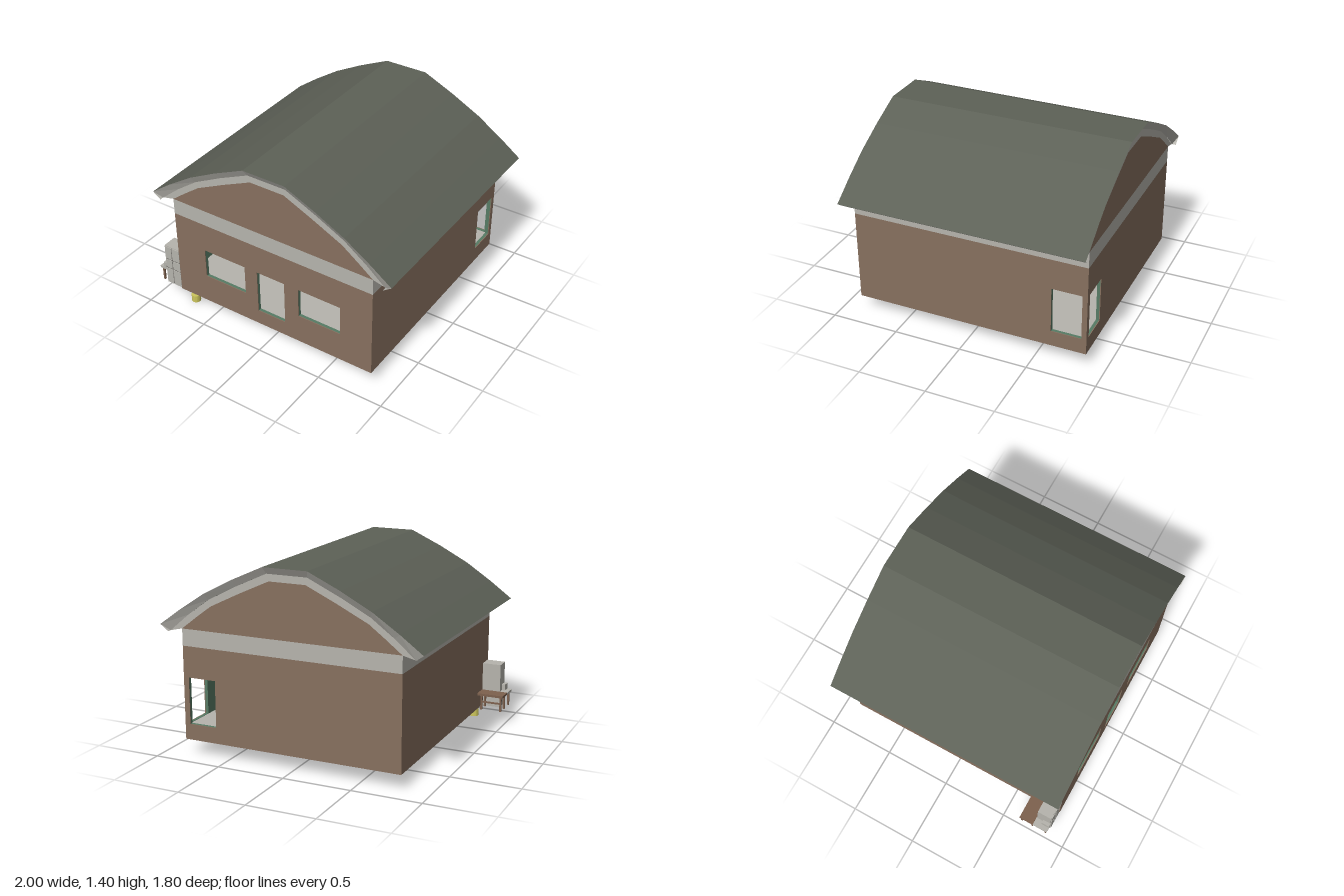
import * as THREE from 'three';

const mat = (name, color) => {
  const m = new THREE.MeshStandardMaterial({ color, flatShading: true, side: THREE.DoubleSide });
  m.name = name;
  return m;
};

export function createModel() {
  const brown = mat('brown wall', 0x87705f);
  const grey = mat('light grey trim', 0xb6b4ad);
  const roofGreen = mat('dark roof', 0x5d6157);
  const green = mat('green interior', 0x577b65);
  const tan = mat('tan floor', 0xdccb9c);
  const wood = mat('table wood', 0x7d614e);
  const yellow = mat('yellow lamp', 0xcdc65c);
  const dark = mat('dark metal', 0x56534f);

  const root = new THREE.Group();
  root.name = 'house';
  const add = (name, geo, m, parent = root) => {
    const mesh = new THREE.Mesh(geo, m);
    mesh.name = name;
    parent.add(mesh);
    return mesh;
  };
  // box given by its limits on each axis
  const box = (name, m, x0, x1, y0, y1, z0, z1) => {
    const mesh = add(name, new THREE.BoxGeometry(x1 - x0, y1 - y0, z1 - z0), m);
    mesh.position.set((x0 + x1) / 2, (y0 + y1) / 2, (z0 + z1) / 2);
    return mesh;
  };

  const X0 = -0.8, X1 = 0.84, Z = 0.867, CX = 0.02, BASE = 0.11, BAND = 0.79, TOP = 0.912;
  const rectPoints = (x0, x1, y0, y1) =>
    [[x0, y0], [x1, y0], [x1, y1], [x0, y1]].map(p => new THREE.Vector2(...p));

  // A wall drawn in its own plane: coloured skin, green lining and grey band
  function wall(name, u0, u1, holes) {
    const g = new THREE.Group();
    g.name = name;
    const slab = (y0, y1, depth, inset = 0) => {
      const s = new THREE.Shape(rectPoints(u0 + inset, u1 - inset, y0, y1));
      if (y0 === BASE) holes.forEach(h => s.holes.push(new THREE.Path(rectPoints(...h))));
      return new THREE.ExtrudeGeometry(s, { depth, bevelEnabled: false });
    };
    add(name + 'Skin', slab(BASE, BAND, 0.006), brown, g).position.z = -0.006;
    add(name + 'Lining', slab(BASE, BAND, 0.022, 0.006), green, g).position.z = -0.028;
    add(name + 'Band', slab(BAND, TOP, 0.02), grey, g).position.z = -0.02;
    root.add(g);
    return g;
  }
  const front = wall('frontWall', X0, X1,
    [[-0.55, -0.2, 0.335, 0.565], [-0.095, 0.135, 0.225, 0.565], [0.25, 0.59, 0.335, 0.565]]);
  front.position.z = Z;
  const back = wall('backWall', -X1, -X0, [[-0.8, -0.59, 0.225, 0.565]]);
  back.rotation.y = Math.PI;
  back.position.z = -Z;
  const right = wall('leftWall', -Z, Z, [[0.61, 0.83, 0.225, 0.565]]);
  right.rotation.y = Math.PI / 2;
  right.position.x = X1;
  const left = wall('rightWall', -Z, Z, []);
  left.rotation.y = -Math.PI / 2;
  left.position.x = X0;

  // Roof profiles, mirrored about the ridge
  const profile = half => [
    ...[...half].reverse().map(([x, y]) => [CX - x, y]),
    ...half.map(([x, y]) => [CX + x, y]),
  ];
  const outer = profile([[0.165, 1.402], [0.4, 1.295], [0.62, 1.18], [0.81, 1.055], [0.975, 0.935]]);
  const mid = profile([[0.15, 1.354], [0.385, 1.246], [0.6, 1.135], [0.765, 1.015], [0.912, 0.89]]);
  const inner = profile([[0.135, 1.303], [0.36, 1.2], [0.585, 1.09], [0.7, 1.005], [0.82, 0.912]]);

  const strip = (a, az, b, bz) => {
    const pos = [], idx = [];
    a.forEach((p, i) => pos.push(...p, az, ...b[i], bz));
    for (let i = 0; i < a.length - 1; i++) {
      const k = i * 2;
      idx.push(k, k + 1, k + 3, k, k + 3, k + 2);
    }
    const g = new THREE.BufferGeometry();
    g.setAttribute('position', new THREE.Float32BufferAttribute(pos, 3));
    g.setIndex(idx);
    g.computeVertexNormals();
    return g;
  };
  add('roofTop', strip(outer, -0.9, outer, 0.9), roofGreen);
  add('frontFascia', strip(outer, 0.9, mid, Z + 0.003), grey);
  add('backFascia', strip(mid, -Z - 0.003, outer, -0.9), grey);
  // sloping eave edges
  const last = outer.length - 1;
  add('leftEave', strip([outer[last], mid[last]], -0.9, [outer[last], mid[last]], 0.9), grey);
  add('rightEave', strip([mid[0], outer[0]], -0.9, [mid[0], outer[0]], 0.9), grey);

  // Trim arch under the roof, and brown gables
  const extrude = (pts, depth) => new THREE.ExtrudeGeometry(
    new THREE.Shape(pts.map(p => new THREE.Vector2(...p))), { depth, bevelEnabled: false });
  add('roofTrim', extrude([...mid, ...[...inner].reverse()], 2 * Z), grey).position.z = -Z;
  [['frontGable', Z - 0.02], ['backGable', -Z]].forEach(([name, z]) => {
    add(name, extrude(inner, 0.02), brown).position.z = z;
  });

  // Floors, ceiling and the back corner room
  box('mainFloorFront', grey, X0 + 0.02, X1 - 0.02, 0.208, 0.223, -0.19, Z - 0.02);
  box('mainFloorSide', grey, 0.01, X1 - 0.02, 0.208, 0.223, -Z + 0.02, -0.19);
  box('roomFloor', tan, X0 + 0.02, 0.01, 0.208, 0.223, -Z + 0.02, -0.19);
  box('ceiling', grey, X0 + 0.02, X1 - 0.02, 0.79, 0.8, -Z + 0.02, Z - 0.02);
  box('partitionFront', green, X0 + 0.02, 0.02, 0.2, 0.79, -0.2, -0.18);
  box('partitionSide', green, 0, 0.02, 0.2, 0.79, -0.43, -0.2);
  box('roomLiningSide', grey, X0 + 0.027, X0 + 0.032, BASE, 0.79, -Z + 0.03, -0.2);
  box('roomLiningBack', grey, X0 + 0.03, 0, 0.223, 0.79, -Z + 0.027, -Z + 0.032);
  box('innerPost', dark, -0.325, -0.295, 0.223, 0.565, -0.178, -0.16);
  box('innerStand', dark, 0.415, 0.435, 0.223, 0.45, -0.17, -0.15);

  // Tall cabinet outside the corner, with door panels
  box('cabinet', grey, -0.94, -0.7, BASE, 0.445, 0.75, 0.857);
  [[-0.935, -0.878], [-0.87, -0.805]].forEach(([a, b]) =>
    [[0.115, 0.245], [0.255, 0.325], [0.335, 0.44]].forEach(([c, d]) =>
      box('cabinetDoor', grey, a, b, c, d, 0.857, 0.864)));
  [0.25, 0.33].forEach(y => box('cabinetGap', dark, -0.94, -0.8, y - 0.004, y + 0.004, 0.856, 0.859));

  // Table, bench and legs
  box('tableTop', wood, -1, -0.8, 0.22, 0.237, 0.635, 0.745);
  box('benchTop', grey, -1, -0.8, 0.217, 0.234, 0.745, 0.86);
  box('benchBox', grey, -0.965, -0.94, 0.234, 0.28, 0.8, 0.86);
  [-0.98, -0.83].forEach(x => [0.65, 0.735, 0.845].forEach(z =>
    box('tableLeg', wood, x - 0.007, x + 0.007, BASE, 0.22, z - 0.007, z + 0.007)));
  box('tableRail', wood, -0.98, -0.83, 0.165, 0.177, 0.645, 0.655);

  // Hanging lamp beneath the corner
  const lamp = (name, m, r0, r1, h, y) =>
    add(name, new THREE.CylinderGeometry(r0, r1, h, 16), m).position.set(-0.72, y, 0.81);
  lamp('lampShade', yellow, 0.034, 0.034, 0.056, 0.028);
  lamp('lampRod', dark, 0.004, 0.004, 0.06, 0.08);
  lamp('lampMount', dark, 0.013, 0.004, 0.014, 0.104);

  return root;
}
